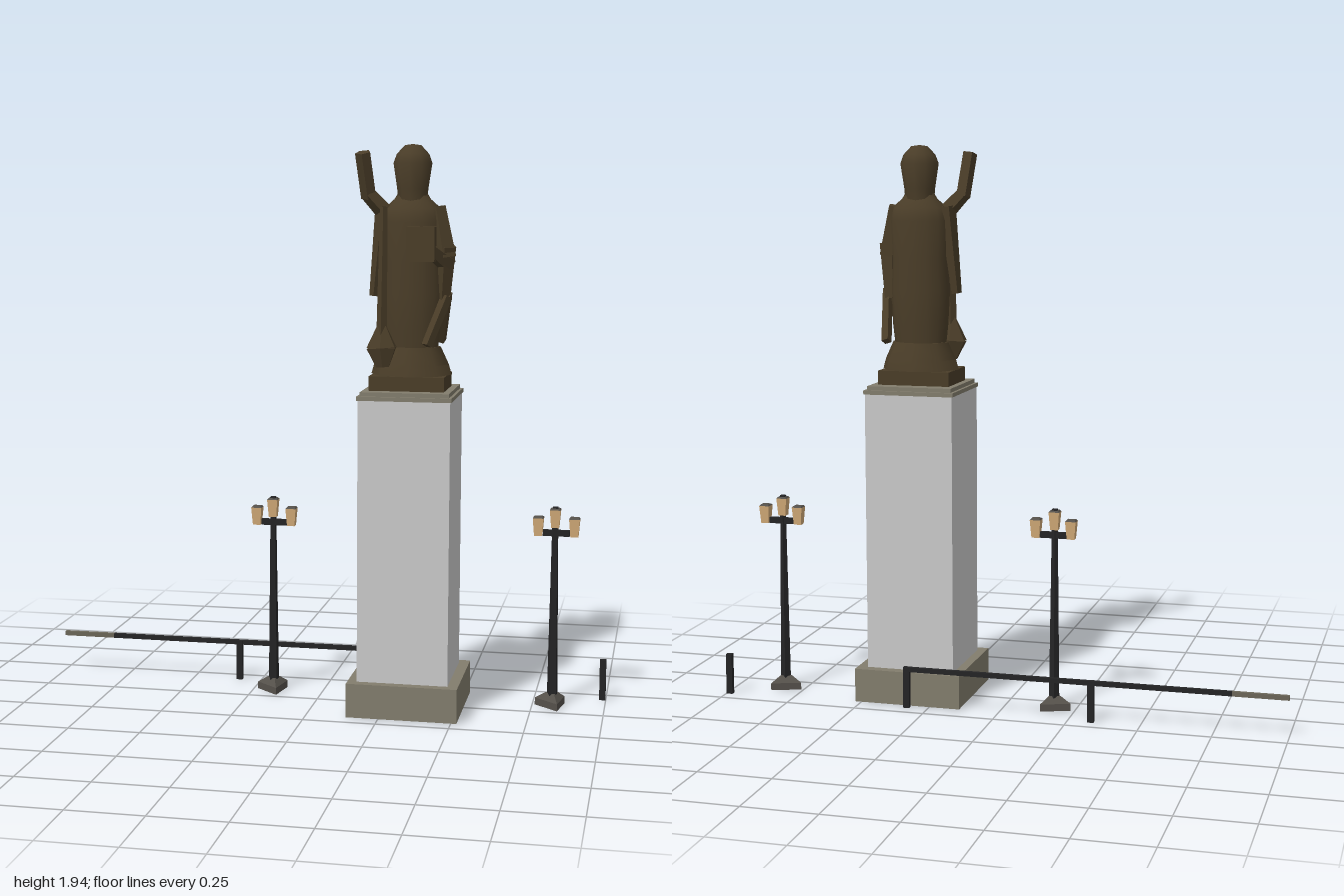
import * as THREE from 'three';
import { toCreasedNormals } from 'three/addons/utils/BufferGeometryUtils.js';

const mat = (name, color) => {
  const m = new THREE.MeshStandardMaterial({ color });
  m.name = name;
  return m;
};

export function createModel() {
  const bronze = mat('dark bronze', 0x4a3d28);
  const marble = mat('pale marble', 0xcacaca);
  const stone = mat('grey stone', 0x827d6d);
  const iron = mat('black iron', 0x242425);
  const glass = mat('amber glass', 0xd2ab78);
  const footing = mat('lamp footing', 0x55514b);
  const worn = mat('worn rail', 0x6b6658);

  const root = new THREE.Group();
  const group = (name) => {
    const g = new THREE.Group();
    g.name = name;
    root.add(g);
    return g;
  };
  const add = (parent, name, geo, m, crease = 0.6) => {
    const mesh = new THREE.Mesh(toCreasedNormals(geo, crease), m);
    mesh.name = name;
    parent.add(mesh);
    return mesh;
  };
  // Box given by its limits on each axis
  const block = (parent, name, m, x0, x1, y0, y1, z0, z1) =>
    add(parent, name, new THREE.BoxGeometry(x1 - x0, y1 - y0, z1 - z0), m)
      .position.set((x0 + x1) / 2, (y0 + y1) / 2, (z0 + z1) / 2);
  // Tapered prism running from a to b
  const limb = (parent, name, m, a, b, ra, rb, sides = 5) => {
    const A = new THREE.Vector3(...a), B = new THREE.Vector3(...b);
    const dir = B.clone().sub(A);
    const mesh = add(parent, name, new THREE.CylinderGeometry(rb, ra, dir.length(), sides), m);
    mesh.position.copy(A).add(B).multiplyScalar(0.5);
    mesh.quaternion.setFromUnitVectors(new THREE.Vector3(0, 1, 0), dir.normalize());
    return mesh;
  };
  // Turned form squashed in depth around the statue's axis
  const turned = (parent, name, points, depth, sides) => {
    const geo = new THREE.LatheGeometry(points.map(([r, y]) => new THREE.Vector2(r, y)), sides);
    geo.scale(1, 1, depth);
    add(parent, name, geo, bronze, 0.9).position.set(0.33, 0, 0.012);
  };

  // Pedestal
  const pedestal = group('pedestal');
  block(pedestal, 'pedestalBase', stone, 0.14, 0.52, 0.002, 0.12, -0.18, 0.2);
  block(pedestal, 'pedestalShaft', marble, 0.172, 0.484, 0, 1.09, -0.145, 0.167);
  block(pedestal, 'pedestalCap', stone, 0.168, 0.488, 1.088, 1.102, -0.149, 0.171);
  block(pedestal, 'pedestalCapStep', stone, 0.178, 0.478, 1.102, 1.116, -0.139, 0.161);

  // Statue: plinth, robe, head
  const statue = group('statue');
  block(statue, 'statuePlinth', bronze, 0.2, 0.455, 1.115, 1.165, -0.088, 0.115);
  turned(statue, 'robeHem', [[0, 1.16], [0.138, 1.165], [0.128, 1.2], [0.1, 1.26], [0, 1.26]], 0.82, 8);
  turned(statue, 'robe', [[0.085, 1.2], [0.098, 1.32], [0.105, 1.44], [0.1, 1.55], [0.105, 1.68],
    [0.096, 1.725], [0.062, 1.755], [0.05, 1.775], [0, 1.78]], 0.74, 14);
  turned(statue, 'head', [[0.05, 1.75], [0.053, 1.79], [0.066, 1.875], [0.055, 1.905],
    [0.028, 1.934], [0, 1.938]], 1, 10);

  // Raised right arm with hanging sleeve
  limb(statue, 'rightUpperArm', bronze, [0.26, 1.69, 0.02], [0.185, 1.775, 0.055], 0.034, 0.027);
  limb(statue, 'rightForearm', bronze, [0.188, 1.76, 0.05], [0.174, 1.91, 0.092], 0.027, 0.027);
  limb(statue, 'rightSleeve', bronze, [0.205, 1.43, 0.03], [0.235, 1.73, 0.02], 0.018, 0.03)
    .scale.z = 1.5;

  // Long-necked instrument resting at the right side
  limb(statue, 'instrumentNeck', bronze, [0.24, 1.28, 0.095], [0.243, 1.73, 0.078], 0.018, 0.013, 4);
  limb(statue, 'instrumentBodyTop', bronze, [0.24, 1.26, 0.092], [0.24, 1.34, 0.092], 0.056, 0.014, 6)
    .scale.z = 0.6;
  limb(statue, 'instrumentBodyBottom', bronze, [0.245, 1.195, 0.092], [0.24, 1.26, 0.092], 0.025, 0.056, 6)
    .scale.z = 0.6;

  // Left arm holding a book
  limb(statue, 'leftUpperArm', bronze, [0.445, 1.56, 0.025], [0.415, 1.73, 0.015], 0.04, 0.03)
    .scale.z = 1.25;
  limb(statue, 'leftSleeve', bronze, [0.435, 1.41, 0.01], [0.448, 1.6, 0.025], 0.026, 0.036)
    .scale.z = 1.3;
  limb(statue, 'leftForearm', bronze, [0.45, 1.54, 0.02], [0.39, 1.6, 0.1], 0.035, 0.025);
  block(statue, 'book', bronze, 0.325, 0.42, 1.55, 1.665, 0.07, 0.122);

  // Sash in front and scabbard behind the left hip
  limb(statue, 'sash', bronze, [0.45, 1.43, 0.03], [0.393, 1.27, 0.095], 0.02, 0.018, 4);
  limb(statue, 'scabbard', bronze, [0.452, 1.44, 0.02], [0.415, 1.27, -0.11], 0.018, 0.018, 4);

  // Three-lantern street lamps on triangular footings
  for (const x of [-0.175, 0.82]) {
    const lamp = group('streetLamp');
    lamp.position.set(x, 0, -0.078);
    const prism = (name, m, rTop, rBottom, y0, y1, px = 0, sides = 3) =>
      add(lamp, name, new THREE.CylinderGeometry(rTop, rBottom, y1 - y0, sides, 1, false,
        sides === 3 ? -1.75 : Math.PI / 4), m).position.set(px, (y0 + y1) / 2, 0);
    prism('lampFooting', footing, 0.062, 0.062, 0, 0.025);
    prism('lampFootingTop', footing, 0.025, 0.062, 0.025, 0.048);
    prism('lampPole', iron, 0.011, 0.019, 0.035, 0.64, 0, 5);
    block(lamp, 'lampArm', iron, -0.042, 0.05, 0.605, 0.626, -0.008, 0.008);
    for (const [px, y] of [[-0.058, 0.605], [0, 0.635], [0.066, 0.605]]) {
      prism('lantern', glass, 0.026, 0.019, y, y + 0.062, px, 4);
      prism('lanternLid', footing, 0.02, 0.026, y + 0.062, y + 0.067, px, 4);
    }
    prism('lampFinial', iron, 0.012, 0.014, 0.7, 0.707, 0, 4);
  }

  // Rail and posts behind
  const fence = group('fence');
  block(fence, 'rail', iron, -0.81, 0.325, 0.13, 0.146, -0.205, -0.191);
  block(fence, 'railEnd', worn, -1, -0.81, 0.13, 0.146, -0.205, -0.191);
  for (const x of [-0.33, 0.325, 0.988])
    block(fence, 'fencePost', iron, x - 0.011, x + 0.011, 0, 0.145, -0.203, -0.186);

  return root;
}
